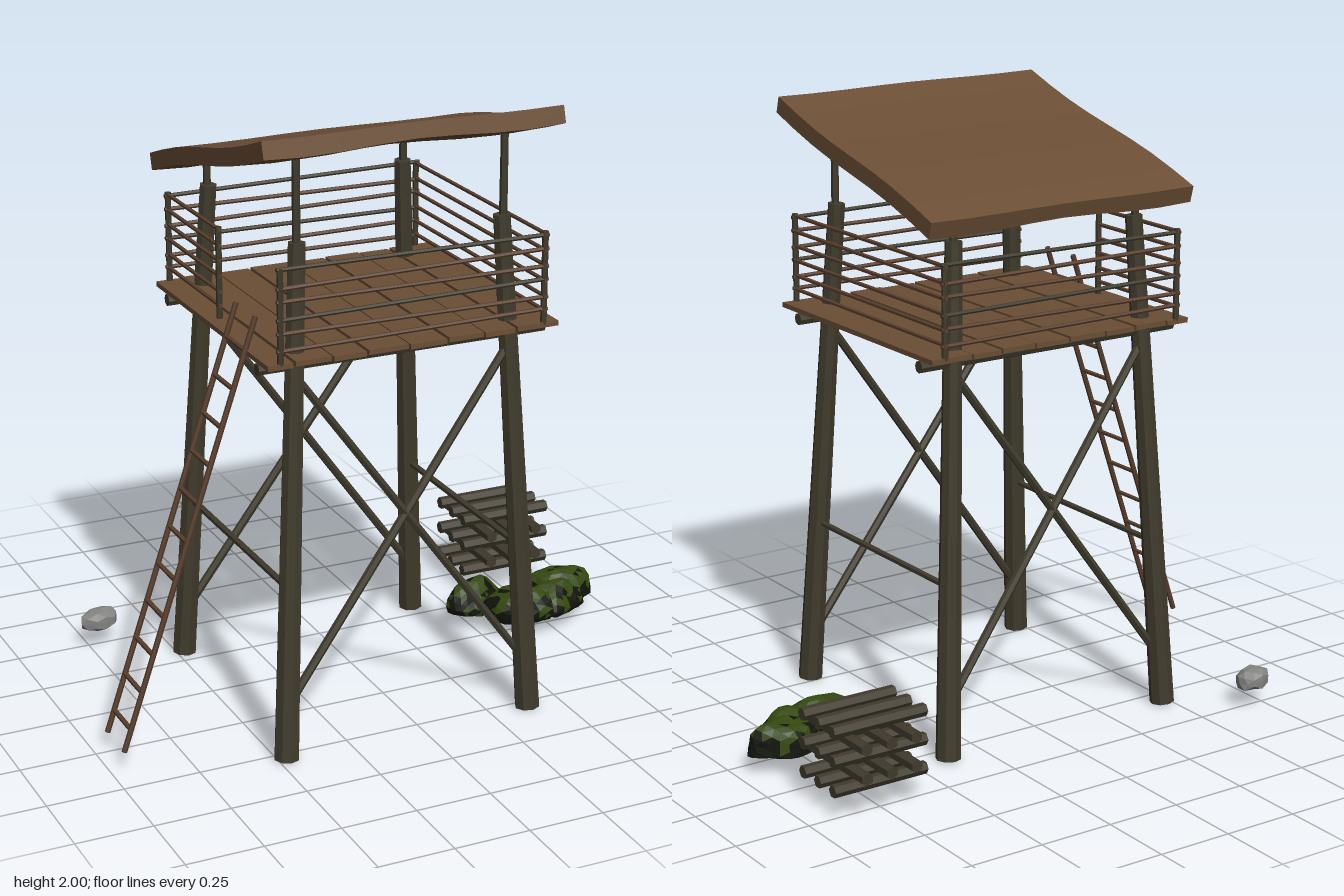
import * as THREE from 'three';

const mat = (name, color) => Object.assign(new THREE.MeshStandardMaterial({ color, flatShading: true }), { name });

export function createModel() {
  const model = new THREE.Group();
  model.name = 'watchtower';
  const brown = mat('plank brown', 0x6b4e35);
  const rail = mat('rail brown', 0x593f2d);
  const olive = mat('log olive', 0x403b2c);
  const green = mat('moss green', 0x34480f);
  const dark = mat('shadow soil', 0x11140b);
  const stone = mat('stone grey', 0x858583);

  const group = (name) => {
    const g = new THREE.Group();
    g.name = name;
    model.add(g);
    return g;
  };
  const mesh = (parent, name, geo, material) => {
    const m = new THREE.Mesh(geo, material);
    m.name = name;
    parent.add(m);
    return m;
  };
  // Round timber between two points
  const pole = (parent, name, a, b, r0, r1, material, sides = 6) => {
    const p = new THREE.Vector3(...a), q = new THREE.Vector3(...b);
    const m = mesh(parent, name, new THREE.CylinderGeometry(r1, r0, p.distanceTo(q), sides), material);
    m.position.copy(p).add(q).multiplyScalar(0.5);
    m.quaternion.setFromUnitVectors(new THREE.Vector3(0, 1, 0), q.sub(p).normalize());
    return m;
  };

  // Tapered, leaning legs with thin roof posts on top
  const CX = -0.045, CZ = 0.108;
  const legs = group('legs');
  for (const sx of [-1, 1]) for (const sz of [-1, 1]) {
    const at = (d, y) => [CX + sx * d, y, CZ + sz * d];
    pole(legs, 'leg', at(0.427, 0), at(0.343, 1.65), 0.041, 0.028, olive, 8);
    const [x, , z] = at(0.346, 0);
    pole(legs, 'roofPost', [x, 1.6, z], [x, sz > 0 ? 1.94 : 1.745, z], 0.013, 0.012, olive);
  }

  // Crossed braces front and back, level braces on the sides
  const braces = group('braces');
  for (const sz of [-1, 1]) for (const sx of [-1, 1]) {
    pole(braces, 'crossBrace', [CX + sx * 0.355, 1.23, CZ + sz * 0.37],
      [CX - sx * 0.40, 0.19, CZ + sz * 0.41], 0.014, 0.014, olive);
  }
  for (const sx of [-1, 1]) {
    pole(braces, 'sideBrace', [CX + sx * 0.4, 0.56, CZ - 0.39], [CX + sx * 0.4, 0.56, CZ + 0.39], 0.011, 0.011, olive);
  }

  // Platform of planks on two cross beams
  const platform = group('platform');
  for (const sz of [-1, 1]) {
    pole(platform, 'beam', [-0.53, 1.278, CZ + sz * 0.362], [0.44, 1.278, CZ + sz * 0.362], 0.02, 0.02, olive, 8);
  }
  const edges = [-0.535, -0.445, -0.32, -0.205, -0.065, 0.065, 0.19, 0.3, 0.45];
  for (let i = 0; i < edges.length - 1; i++) {
    const w = edges[i + 1] - edges[i] - 0.008;
    const p = mesh(platform, 'plank', new THREE.BoxGeometry(w, 0.016, 0.9), brown);
    p.position.set((edges[i] + edges[i + 1]) / 2, 1.307 + (i % 2) * 0.003, CZ);
  }

  // Railing with an opening where the ladder arrives
  const railing = group('railing');
  const X0 = -0.487, X1 = 0.397, Z0 = -0.335, Z1 = 0.55, ZM = 0.083;
  for (const [x, z] of [[X0, Z0], [X0, Z1], [X1, Z0], [X1, Z1], [X0, ZM]]) {
    pole(railing, 'railPost', [x, 1.31, z], [x, 1.61, z], 0.01, 0.01, olive);
  }
  [1.357, 1.403, 1.453, 1.502, 1.55, 1.602].forEach((y, i) => {
    const j = 0.004 * (i % 2 ? 1 : -1);
    const m = i % 3 === 2 ? olive : rail;
    pole(railing, 'frontRail', [X0 - 0.012, y + j, Z1], [X1 + 0.012, y - j, Z1], 0.007, 0.007, m);
    pole(railing, 'backRail', [X0 - 0.012, y - j, Z0], [X1 + 0.012, y + j, Z0], 0.007, 0.007, m);
    pole(railing, 'leftRail', [X1, y, Z0 - 0.01], [X1, y, Z1 + 0.01], 0.007, 0.007, rail);
    pole(railing, 'rightRail', [X0, y, Z0 - 0.01], [X0, y, ZM + 0.01], 0.007, 0.007, rail);
  });

  // Sloping roof slab, gently warped
  const roofGeo = new THREE.BoxGeometry(0.99, 0.054, 0.93, 8, 1, 8);
  const v = roofGeo.attributes.position;
  for (let i = 0; i < v.count; i++) {
    const x = v.getX(i), z = v.getZ(i);
    const lift = 0.007 * Math.cos(x * 9) * (v.getY(i) < 0 ? 1 : 0.3);
    v.setY(i, v.getY(i) + lift - 0.009 * Math.sin((z / 0.93) * 2 * Math.PI));
  }
  roofGeo.computeVertexNormals();
  const roof = mesh(model, 'roof', roofGeo, brown);
  roof.position.set(CX, 1.845, CZ);
  roof.rotation.x = -0.278;

  // Leaning ladder
  const ladder = group('ladder');
  const ladderX = (y) => -0.955 + (y - 0.06) * 0.338;
  for (const z of [0.24, 0.388]) {
    pole(ladder, 'ladderRail', [ladderX(0.06), 0.06, z], [ladderX(1.415), 1.415, z], 0.009, 0.009, rail);
  }
  for (let i = 0; i < 11; i++) {
    const y = 0.132 + i * 0.118;
    pole(ladder, 'rung', [ladderX(y), y, 0.236], [ladderX(y), y, 0.392], 0.008, 0.008, rail);
  }

  // Stacked logs in alternating directions
  const logs = group('logPile');
  for (let layer = 0; layer < 5; layer++) for (let k = -1; k <= 1; k++) {
    const y = 0.09 + layer * 0.0475;
    if (layer % 2) pole(logs, 'log', [0.755 + k * 0.088, y, -0.583], [0.755 + k * 0.088, y, -0.252], 0.021, 0.021, olive);
    else pole(logs, 'log', [0.59, y, -0.418 + k * 0.088], [0.92, y, -0.418 + k * 0.088], 0.021, 0.021, olive);
  }

  // Lumpy low-poly blob, flattened at the ground
  const blob = (detail, [w, h, d], seed, floor) => {
    const geo = new THREE.IcosahedronGeometry(1, detail);
    const p = geo.attributes.position;
    for (let i = 0; i < p.count; i++) {
      const x = p.getX(i), y = p.getY(i), z = p.getZ(i);
      const s = 0.95 + 0.1 * Math.sin(x * 4 + seed) * Math.cos(z * 5 - seed) + 0.05 * Math.sin(y * 5 + seed * 2);
      p.setXYZ(i, x * s * w, Math.max(y, -floor) * s * h, z * s * d);
    }
    geo.computeVertexNormals();
    return geo;
  };

  // Mossy mounds: green patches on top, dark below
  const moss = group('mossMounds');
  const mounds = [
    [0.53, -0.12, 0.115, 0.085, 0.085, 0.5], [0.635, 0.02, 0.125, 0.09, 0.095, -0.4],
    [0.84, -0.075, 0.125, 0.085, 0.075, -0.25], [0.775, 0.005, 0.115, 0.08, 0.085, 0.3],
  ];
  mounds.forEach(([x, z, w, h, d, turn], n) => {
    const geo = blob(3, [w, h, d], n * 2.1 + 1, 0.25);
    const p = geo.attributes.position;
    for (let i = 0; i < p.count; i += 3) {
      const c = [p.getX(i) + p.getX(i + 1) + p.getX(i + 2), p.getY(i) + p.getY(i + 1) + p.getY(i + 2), p.getZ(i) + p.getZ(i + 1) + p.getZ(i + 2)];
      const patch = Math.sin(c[0] * 24 + n * 2) * Math.cos(c[2] * 27 + n) + 0.35 * Math.sin(c[0] * 60 - c[2] * 50);
      geo.addGroup(i, 3, c[1] / (3 * h) + patch * 0.5 > 0.42 ? 0 : 1);
    }
    const m = mesh(moss, 'mossMound', geo, [green, dark]);
    m.position.set(x, 0.075, z);
    m.rotation.y = turn;
  });

  // Loose stone
  const rock = mesh(model, 'rock', blob(1, [0.075, 0.042, 0.05], 2.4, 0.6), stone);
  rock.position.set(-0.708, 0.086, -0.5);
  rock.rotation.y = 0.25;

  return model;
}
